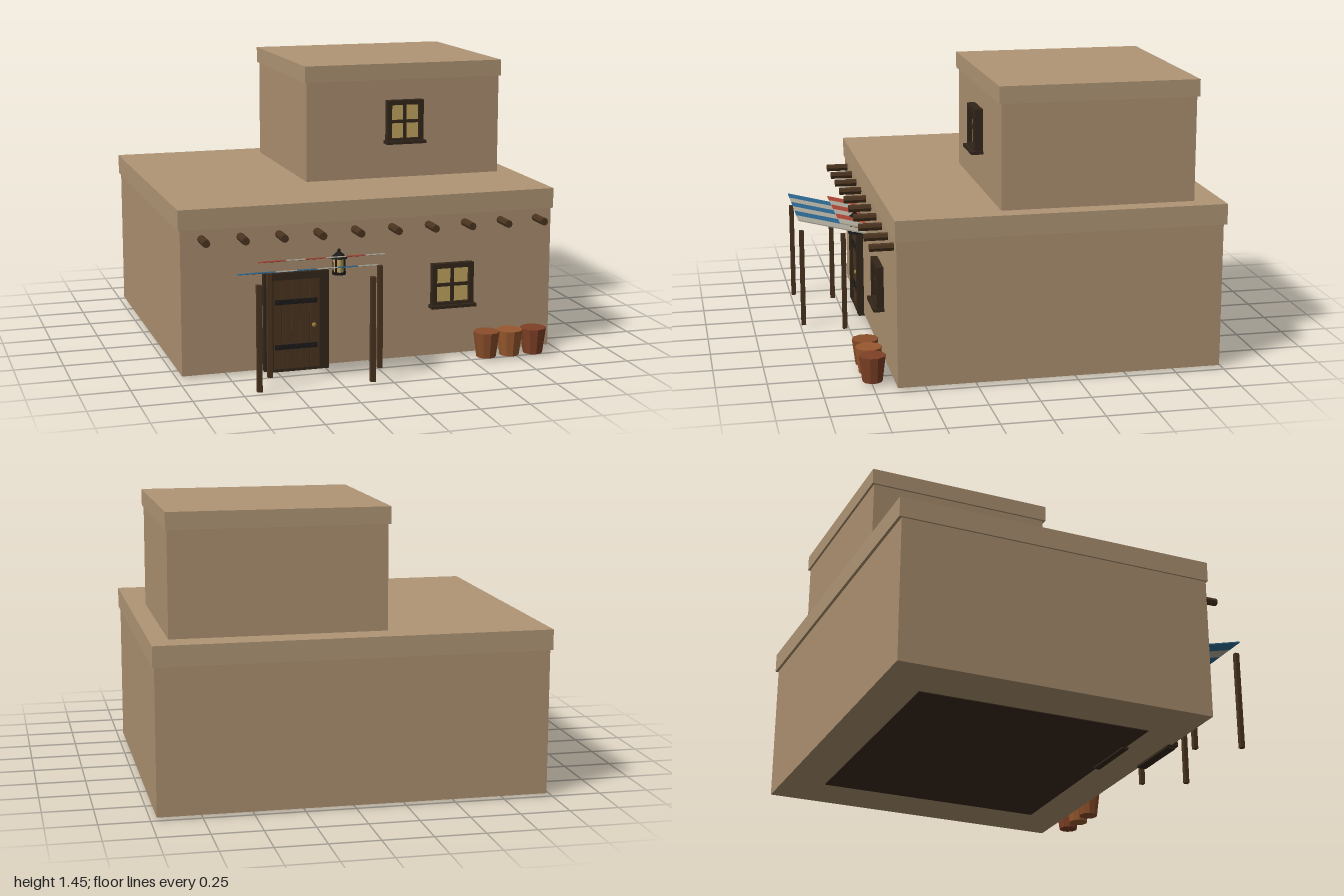
import * as THREE from 'three';

const mat = (color, extra = {}) => new THREE.MeshStandardMaterial({ color, flatShading: true, ...extra });
const M = {
  wall: mat(0xac9070), trim: mat(0xb09575), floor: mat(0x3a2a1e),
  wood: mat(0x4a3420), dark: mat(0x33261a), iron: mat(0x1c1a19),
  glass: mat(0xc2a45f), brass: mat(0x9a7a3a),
  blue: mat(0x2f6c97), red: mat(0xb34838), cloth: mat(0xb5afa2),
};

function add(parent, name, geometry, material, x = 0, y = 0, z = 0) {
  const mesh = new THREE.Mesh(geometry, material);
  mesh.name = name;
  mesh.position.set(x, y, z);
  parent.add(mesh);
  return mesh;
}

// Box given by its minimum and maximum along each axis
function span(parent, name, material, x0, x1, y0, y1, z0, z1) {
  return add(parent, name, new THREE.BoxGeometry(x1 - x0, y1 - y0, z1 - z0), material,
    (x0 + x1) / 2, (y0 + y1) / 2, (z0 + z1) / 2);
}

function group(parent, name, x = 0, y = 0, z = 0) {
  const g = new THREE.Group();
  g.name = name;
  g.position.set(x, y, z);
  parent.add(g);
  return g;
}

// Four-pane window; origin at bottom centre on the wall surface
function addWindow(parent, name, x, y, z, w, h) {
  const g = group(parent, name, x, y, z);
  const b = 0.024, hw = w / 2;
  span(g, 'panes', M.glass, -hw + b, hw - b, b, h - b, -0.01, 0.012);
  for (const s of [-1, 1]) {
    const c = s * (hw - b / 2);
    span(g, 'frameSide', M.dark, c - b / 2, c + b / 2, 0, h, -0.01, 0.035);
  }
  span(g, 'frameTop', M.dark, -hw, hw, h - b, h, -0.01, 0.035);
  span(g, 'frameBottom', M.dark, -hw, hw, 0, b, -0.01, 0.035);
  span(g, 'mullion', M.dark, -0.008, 0.008, b, h - b, -0.01, 0.024);
  span(g, 'transom', M.dark, -hw + b, hw - b, h / 2 - 0.008, h / 2 + 0.008, -0.01, 0.024);
  span(g, 'sill', M.dark, -hw - 0.01, hw + 0.01, -0.004, 0.012, -0.01, 0.055);
}

// Striped cloth awning rising outward on thin posts
function addAwning(parent, name, x0, zIn, zOut, color, yOut = 0.597) {
  const g = group(parent, name);
  const slope = 0.257, stripe = 0.101;
  const run = zOut - zIn;
  for (let i = 0; i < 6; i++) {
    const strip = add(g, 'stripe', new THREE.BoxGeometry(stripe, 0.006, Math.hypot(run, run * slope)),
      i % 2 ? M.cloth : color, x0 + (i + 0.5) * stripe, yOut - run * slope / 2, (zIn + zOut) / 2);
    strip.rotation.x = -Math.atan(slope);
  }
  for (const x of [x0 + 0.02, x0 + 6 * stripe - 0.02]) {
    span(g, 'post', M.wood, x - 0.012, x + 0.012, 0.012, 0.535, zOut - 0.027, zOut - 0.003);
  }
}

function addDoor(parent) {
  const g = group(parent, 'door', -0.4, 0, 0.64);
  for (const s of [-1, 1]) {
    const c = s * 0.143;
    span(g, 'doorJamb', M.dark, c - 0.024, c + 0.024, 0.008, 0.505, -0.02, 0.035);
  }
  span(g, 'doorLintel', M.dark, -0.167, 0.167, 0.47, 0.505, -0.02, 0.036);
  span(g, 'doorBacking', M.dark, -0.12, 0.12, 0.012, 0.47, -0.02, 0.01);
  for (let i = 0; i < 5; i++) {
    const x = -0.12 + i * 0.048;
    span(g, 'doorPlank', M.wood, x + 0.002, x + 0.046, 0.014, 0.47, 0, 0.02);
  }
  for (const y of [0.125, 0.355]) {
    span(g, 'doorBand', M.iron, -0.108, 0.108, y - 0.012, y + 0.012, 0.015, 0.028);
    for (const x of [-0.09, 0, 0.09])
      add(g, 'bandStud', new THREE.SphereGeometry(0.008, 8, 6), M.iron, x, y, 0.029);
  }
  add(g, 'doorKnob', new THREE.SphereGeometry(0.012, 8, 6), M.brass, 0.09, 0.23, 0.032);
  span(g, 'threshold', M.dark, -0.15, 0.167, 0, 0.014, -0.02, 0.03);
}

function addLantern(parent) {
  const g = group(parent, 'lantern', -0.187, 0.485, 0.69);
  add(g, 'lanternBase', new THREE.CylinderGeometry(0.036, 0.036, 0.012, 8), M.iron, 0, 0.006, 0);
  add(g, 'lanternGlass', new THREE.CylinderGeometry(0.03, 0.026, 0.07, 8), M.glass, 0, 0.047, 0);
  for (const x of [-1, 1]) for (const z of [-1, 1])
    add(g, 'lanternBar', new THREE.BoxGeometry(0.007, 0.075, 0.007), M.iron, x * 0.022, 0.047, z * 0.022);
  add(g, 'lanternCap', new THREE.ConeGeometry(0.045, 0.04, 8), M.iron, 0, 0.102, 0);
  add(g, 'lanternFinial', new THREE.SphereGeometry(0.009, 6, 4), M.iron, 0, 0.121, 0);
  span(g, 'lanternBracket', M.iron, -0.007, 0.007, 0.07, 0.084, -0.06, 0);
}

export function createModel() {
  const house = new THREE.Group();
  house.name = 'adobeHouse';

  // Two stacked storeys, each under a slightly wider roof slab
  span(house, 'lowerWalls', M.wall, -0.975, 0.97, 0.012, 0.75, -0.985, 0.64);
  span(house, 'lowerRoof', M.trim, -0.985, 0.98, 0.742, 0.845, -1, 0.647);
  span(house, 'upperWalls', M.wall, -0.186, 0.886, 0.84, 1.38, -0.858, 0.114);
  span(house, 'upperRoof', M.trim, -0.197, 0.894, 1.368, 1.453, -0.87, 0.126);
  span(house, 'floor', M.floor, -0.69, 0.69, 0.008, 0.02, -0.77, 0.44);
  span(house, 'innerThreshold', M.dark, -0.45, -0.13, 0, 0.014, 0.42, 0.455);

  // Projecting roof beams
  for (let i = 0; i < 10; i++) {
    const beam = add(house, 'roofBeam', new THREE.CylinderGeometry(0.02, 0.02, 0.16, 8), M.wood,
      -0.87 + i * 0.195, 0.696, 0.677);
    beam.rotation.x = Math.PI / 2;
  }

  addDoor(house);
  addWindow(house, 'lowerWindow', 0.426, 0.268, 0.64, 0.222, 0.225);
  addWindow(house, 'upperWindow', 0.347, 1.034, 0.12, 0.2, 0.226);
  addAwning(house, 'blueAwning', -0.692, 0.64, 1, M.blue);
  addAwning(house, 'redAwning', -0.586, 0.6, 0.79, M.red);
  addLantern(house);

  // Row of tapered wooden tubs
  [[0.583, 0x8a4e2a], [0.71, 0x98592e], [0.84, 0x7f4026]].forEach(([x, color]) => {
    const tub = group(house, 'tub', x, 0.012, 0.745);
    add(tub, 'tubBody', new THREE.CylinderGeometry(0.067, 0.05, 0.132, 10), mat(color), 0, 0.066, 0);
  });

  return house;
}
